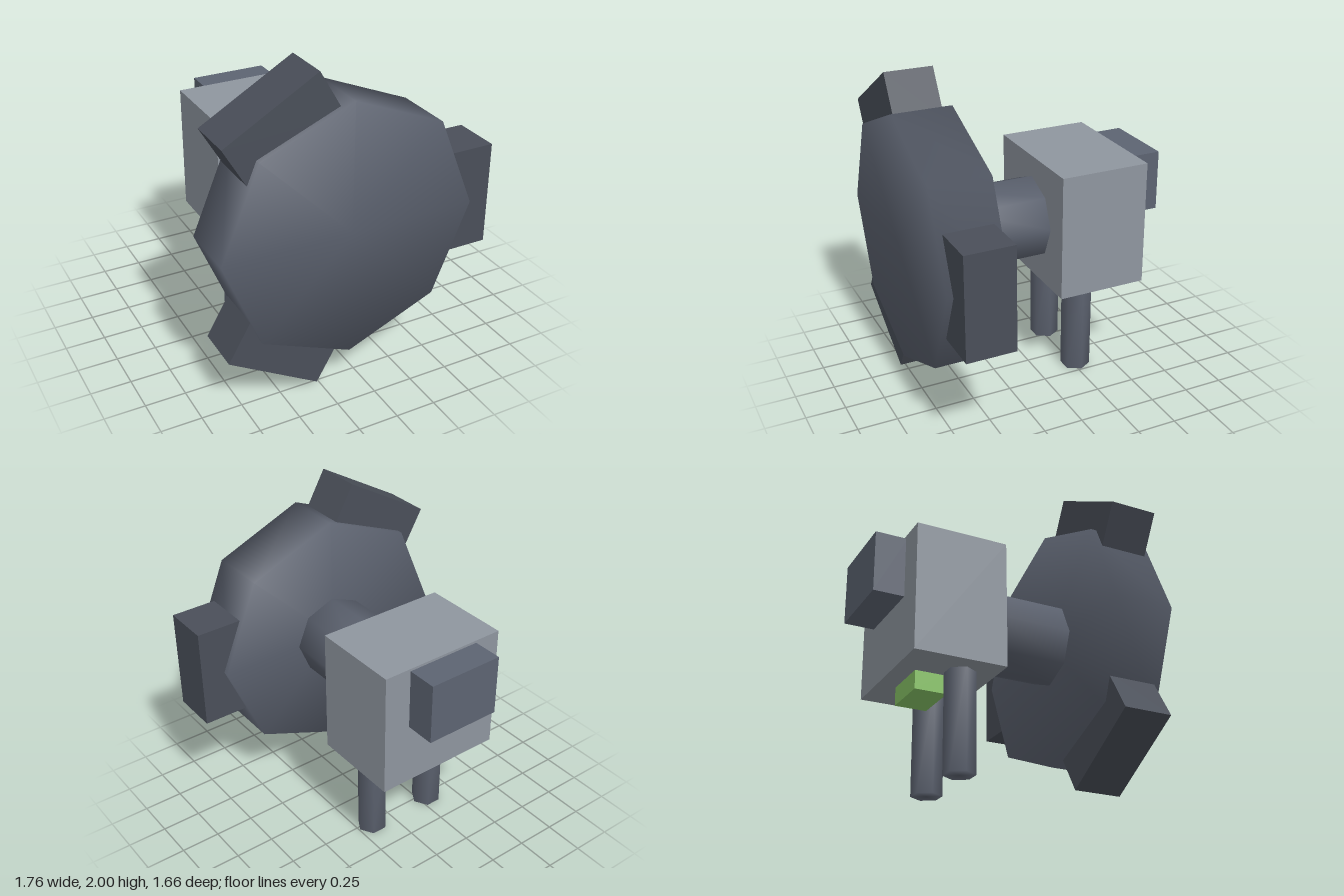
import * as THREE from 'three';
import { mergeVertices } from 'three/addons/utils/BufferGeometryUtils.js';

const AXIS_X = -0.08, AXIS_Y = 1.015;

export function createModel() {
  const model = new THREE.Group();
  const mat = (color) => new THREE.MeshStandardMaterial({ color });
  const dark = mat(0x5a606d), bladeGrey = mat(0x4a4f59);
  const bodyGrey = mat(0x8f969f), slate = mat(0x5d6472), green = mat(0x88c466);

  function add(name, geometry, material, x, y, z, parent = model) {
    const mesh = new THREE.Mesh(geometry, material);
    mesh.name = name;
    mesh.position.set(x, y, z);
    parent.add(mesh);
    return mesh;
  }

  // Low-poly cylinder whose normals are smoothed across the rims
  function softCylinder(radius, length, sides) {
    const g = new THREE.CylinderGeometry(radius, radius, length, sides);
    g.deleteAttribute('normal');
    g.deleteAttribute('uv');
    const merged = mergeVertices(g);
    merged.computeVertexNormals();
    return merged;
  }

  // Wheel and the neck that carries it
  add('wheelDisc', softCylinder(0.8, 0.38, 8).rotateX(Math.PI / 2), dark, AXIS_X, AXIS_Y, 0.64);
  add('neck', softCylinder(0.265, 0.56, 8).rotateX(Math.PI / 2), dark, AXIS_X, AXIS_Y, 0.2);

  // Three blocks spaced evenly around the wheel rim
  const blocks = new THREE.Group();
  blocks.name = 'rimBlocks';
  blocks.position.set(AXIS_X, AXIS_Y, 0.64);
  model.add(blocks);
  for (let i = 0; i < 3; i++) {
    const a = (i * Math.PI * 2) / 3;
    const block = add('rimBlock', new THREE.BoxGeometry(0.315, 0.65, 0.305), bladeGrey,
      Math.cos(a) * 0.798, Math.sin(a) * 0.798, 0, blocks);
    block.rotation.z = a;
  }

  // Body, rear pack and underside block
  add('body', new THREE.BoxGeometry(0.84, 0.8, 0.575), bodyGrey, AXIS_X, AXIS_Y, -0.352);
  add('rearPack', new THREE.BoxGeometry(0.49, 0.385, 0.2), slate, AXIS_X, 1.207, -0.73);
  add('undersideBlock', new THREE.BoxGeometry(0.3, 0.13, 0.2), green, AXIS_X, 0.565, -0.42);

  // Pair of six-sided legs
  for (const side of [-1, 1]) {
    add(side > 0 ? 'leftLeg' : 'rightLeg', softCylinder(0.095, 0.64, 6).rotateY(Math.PI / 6), dark,
      AXIS_X + side * 0.228, 0.32, -0.272);
  }
  return model;
}
